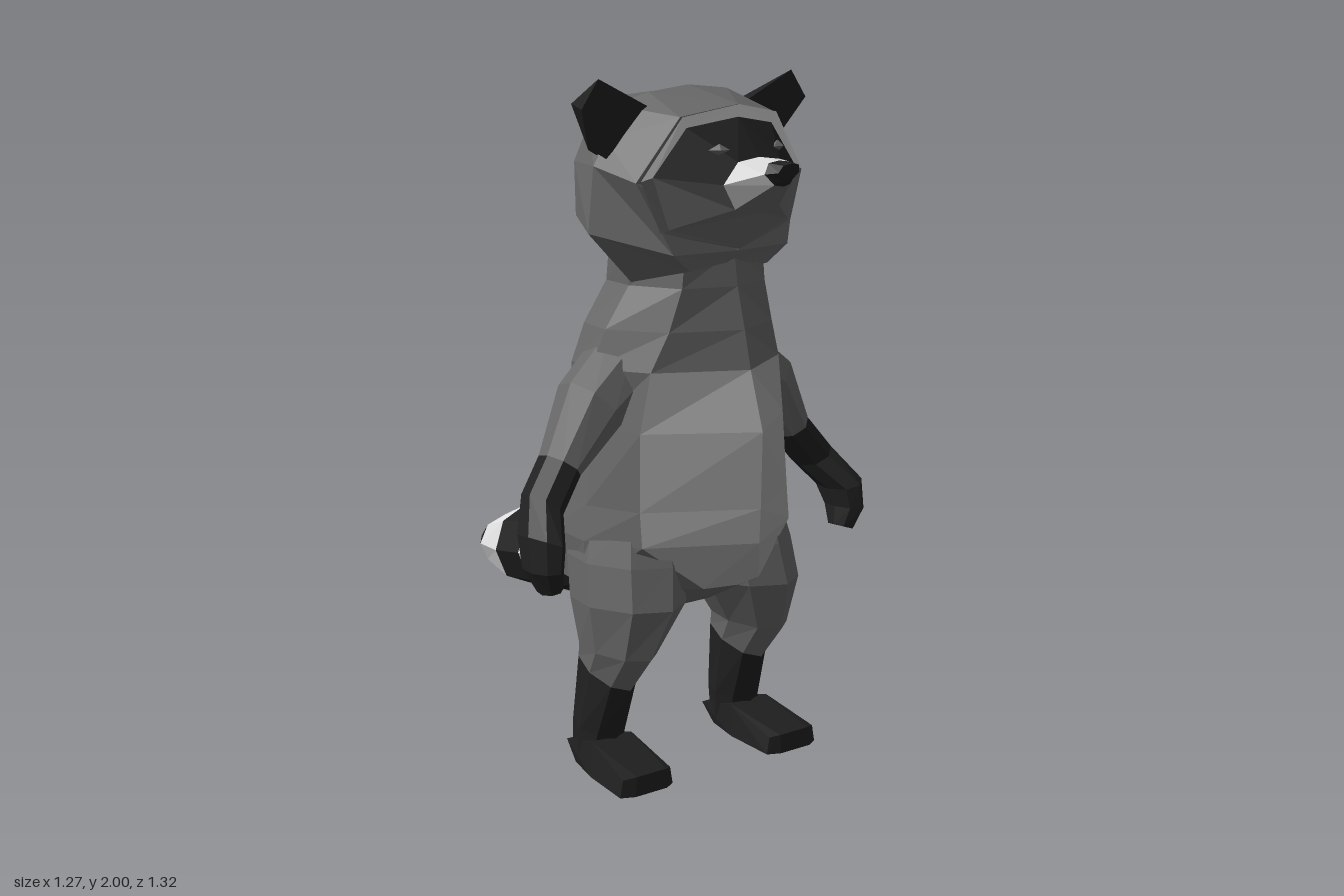
import * as THREE from 'three';
import { ConvexGeometry } from 'three/addons/geometries/ConvexGeometry.js';

const mat = (name, color) => {
  const m = new THREE.MeshStandardMaterial({ color });
  m.name = name;
  return m;
};
const V = (x, y, z) => new THREE.Vector3(x, y, z);

// Elliptical ring of n points around c, spanned by the half-axes u and v
const ellipse = (c, u, v, n) => Array.from({ length: n }, (_, i) => {
  const a = (i / n) * Math.PI * 2;
  return c.clone().addScaledVector(u, Math.cos(a)).addScaledVector(v, Math.sin(a));
});

// Full ring from the points of its +x half, front to back
const mirrorRing = (half) => {
  const pts = half.map((p) => V(...p));
  const other = pts.slice(1, -1).reverse().map((p) => V(-p.x, p.y, p.z));
  return [...pts, ...other];
};

// Faceted closed skin over rings; materialOf(row, column) picks the colour
function loft(name, rings, materialOf) {
  const n = rings[0].length;
  const tris = [];
  const add = (m, ...p) => tris.push({ m, p });
  for (let i = 0; i < rings.length - 1; i++) {
    for (let j = 0; j < n; j++) {
      const k = (j + 1) % n;
      const col = Math.min(j, n - 1 - j);
      const [a, b, c, d] = [rings[i][j], rings[i][k], rings[i + 1][k], rings[i + 1][j]];
      const m = materialOf(i, col);
      if (j < n / 2) { add(m, a, b, c); add(m, a, c, d); }
      else { add(m, a, b, d); add(m, b, c, d); }
    }
  }
  // End caps
  [[rings[0], 0, true], [rings.at(-1), rings.length - 2, false]].forEach(([r, row, first]) => {
    const mid = r.reduce((s, p) => s.add(p), V(0, 0, 0)).divideScalar(n);
    for (let j = 0; j < n; j++) {
      const [a, b] = [r[j], r[(j + 1) % n]];
      add(materialOf(row, 0), mid, ...(first ? [b, a] : [a, b]));
    }
  });
  // Turn every face outwards
  const volume = tris.reduce((s, { p }) => s + p[0].dot(p[1].clone().cross(p[2])), 0);
  const group = new THREE.Group();
  group.name = name;
  for (const m of new Set(tris.map((t) => t.m))) {
    const pts = tris.filter((t) => t.m === m)
      .flatMap(({ p }) => (volume < 0 ? [p[0], p[2], p[1]] : p));
    const g = new THREE.BufferGeometry().setFromPoints(pts);
    g.computeVertexNormals();
    const mesh = new THREE.Mesh(g, m);
    mesh.name = `${name} ${m.name}`;
    group.add(mesh);
  }
  return group;
}

export function createModel() {
  const fur = mat('grey fur', 0x686868);
  const pale = mat('pale belly', 0xa7a7a7);
  const dark = mat('black fur', 0x202020);
  const white = mat('white fur', 0xdedede);
  const model = new THREE.Group();
  model.name = 'raccoon';

  // Torso: y, front z, belly edge x and z, half width, middle z, back z
  const torso = [
    [1.52, 0.44, 0.15, 0.40, 0.22, 0.24, 0.03],
    [1.42, 0.455, 0.16, 0.40, 0.215, 0.24, 0.0],
    [1.30, 0.485, 0.20, 0.39, 0.285, 0.22, -0.035],
    [1.19, 0.51, 0.25, 0.37, 0.32, 0.20, -0.055],
    [1.02, 0.56, 0.28, 0.36, 0.30, 0.19, -0.085],
    [0.80, 0.555, 0.29, 0.37, 0.335, 0.19, -0.125],
    [0.70, 0.55, 0.29, 0.38, 0.35, 0.20, -0.17],
    [0.565, 0.47, 0.11, 0.44, 0.34, 0.20, -0.10],
    [0.47, 0.26, 0.08, 0.26, 0.17, 0.18, 0.03],
  ].map(([y, zf, ax, az, w, zm, zb]) => mirrorRing([
    [0, y, zf], [ax, y, az], [w, y, zm],
    [w * 0.85, y, zb + 0.45 * (zm - zb)], [w * 0.5, y, zb + 0.13 * (zm - zb)], [0, y, zb],
  ]));
  model.add(loft('torso', torso, (i, j) => (j === 0 && i >= 3 && i <= 6 ? pale : fur)));

  // Head, from the neck up
  const head = [
    [[0, 1.49, 0.44], [0.15, 1.47, 0.42], [0.215, 1.43, 0.25], [0.14, 1.49, 0.06], [0, 1.49, 0.03]],
    [[0, 1.52, 0.455], [0.22, 1.52, 0.43], [0.39, 1.58, 0.27], [0.22, 1.60, 0.02], [0, 1.61, 0]],
    [[0, 1.66, 0.38], [0.31, 1.72, 0.375], [0.345, 1.76, 0.24], [0.2, 1.75, -0.01], [0, 1.75, -0.05]],
    [[0, 1.925, 0.45], [0.18, 1.895, 0.41], [0.29, 1.83, 0.23], [0.19, 1.865, 0.045], [0, 1.87, 0.04]],
    [[0, 1.97, 0.25], [0.15, 1.955, 0.25], [0.235, 1.92, 0.19], [0.165, 1.935, 0.10], [0, 1.945, 0.10]],
  ].map(mirrorRing);
  model.add(loft('head', head, () => fur));

  // Face: white brow band, black mask, white muzzle, black nose
  const face = [
    [[0, 1.925, 0.455], [0.18, 1.895, 0.42], [0.31, 1.725, 0.395], [0.25, 1.58, 0.41], [0, 1.525, 0.46]],
    [[0, 1.89, 0.452], [0.163, 1.865, 0.418], [0.275, 1.735, 0.405], [0.23, 1.59, 0.42], [0, 1.53, 0.465]],
    [[0, 1.785, 0.535], [0.08, 1.775, 0.535], [0.13, 1.715, 0.53], [0.085, 1.645, 0.53], [0, 1.632, 0.545]],
    [[0, 1.78, 0.612], [0.04, 1.775, 0.612], [0.055, 1.745, 0.612], [0.03, 1.715, 0.625], [0, 1.71, 0.63]],
    [[0, 1.775, 0.66], [0.03, 1.77, 0.658], [0.04, 1.75, 0.65], [0.02, 1.73, 0.645], [0, 1.725, 0.645]],
  ].map(mirrorRing);
  const faceRows = [white, dark, white, dark];
  model.add(loft('face', face, (i, j) => (i < 3 && j >= (i === 2 ? 3 : 2) ? fur : faceRows[i])));

  // Tail: z, middle y, half height, half width, backward lean of the top
  const tail = [
    [0.07, 0.575, 0.125, 0.22, 0.02], [-0.13, 0.57, 0.132, 0.175, 0.05], [-0.24, 0.54, 0.137, 0.145, 0.02],
    [-0.365, 0.525, 0.128, 0.128, 0.015], [-0.478, 0.512, 0.122, 0.125, 0.01], [-0.585, 0.51, 0.078, 0.1, 0],
    [-0.655, 0.513, 0.012, 0.04, 0],
  ].map(([z, y, h, w, lean]) => ellipse(V(0, y, z), V(0, h, -lean), V(w, 0, 0), 8));
  const tailRows = [fur, dark, white, dark, white, dark];
  model.add(loft('tail', tail, (i) => tailRows[i]));

  for (const s of [1, -1]) {
    const side = s > 0 ? 'left' : 'right';
    const convex = (name, pts) => {
      const mesh = new THREE.Mesh(new ConvexGeometry(pts.map(([x, y, z]) => V(s * x, y, z))), dark);
      mesh.name = `${side} ${name}`;
      model.add(mesh);
    };

    // Ear
    convex('ear', [
      [0.17, 1.91, 0.29], [0.31, 1.77, 0.26], [0.37, 2.0, 0.29], [0.43, 1.92, 0.29],
      [0.21, 1.9, 0.19], [0.32, 1.80, 0.19], [0.39, 1.93, 0.2],
    ]);

    // Eye
    const eye = new THREE.Mesh(new THREE.OctahedronGeometry(1), fur);
    eye.name = `${side} eye`;
    eye.scale.set(0.03, 0.017, 0.018);
    eye.position.set(s * 0.112, 1.807, 0.494);
    eye.rotation.y = s * 0.5;
    model.add(eye);

    // Arm: centre, half thickness, half depth
    const path = [
      [0.18, 1.19, 0.19, 0.12, 0.12], [0.335, 1.09, 0.21, 0.1, 0.11], [0.45, 0.935, 0.215, 0.056, 0.075],
      [0.53, 0.84, 0.235, 0.056, 0.075], [0.587, 0.755, 0.298, 0.05, 0.09], [0.595, 0.68, 0.315, 0.042, 0.075],
      [0.575, 0.62, 0.32, 0.03, 0.045],
    ];
    const arm = path.map(([x, y, z, ru, rv], i) => {
      const [p, q] = [path[Math.max(i - 1, 0)], path[Math.min(i + 1, path.length - 1)]];
      const u = V(p[1] - q[1], q[0] - p[0], 0).normalize().multiplyScalar(ru);
      u.x *= s;
      return ellipse(V(s * x, y, z), u, V(0, 0, rv), 8);
    });
    model.add(loft(`${side} arm`, arm, (i) => (i < 2 ? fur : dark)));

    // Leg: centre, half width, half depth, forward drop
    const leg = [
      [0.20, 0.78, 0.21, 0.125, 0.17, 0], [0.21, 0.64, 0.225, 0.15, 0.195, 0], [0.228, 0.52, 0.25, 0.143, 0.19, 0],
      [0.262, 0.38, 0.245, 0.085, 0.14, -0.01], [0.262, 0.31, 0.2, 0.068, 0.1, -0.045],
      [0.27, 0.14, 0.172, 0.075, 0.075, -0.02], [0.275, 0.06, 0.17, 0.075, 0.065, 0],
    ].map(([x, y, z, rx, rz, drop]) => ellipse(V(s * x, y, z), V(0, drop, rz), V(rx, 0, 0), 8));
    model.add(loft(`${side} leg`, leg, (i) => (i < 4 ? fur : dark)));

    // Foot
    convex('foot', [
      [0.19, 0, 0.40], [0.39, 0, 0.40], [0.23, 0, 0.42], [0.35, 0, 0.42],
      [0.2, 0.05, 0.40], [0.38, 0.05, 0.40], [0.23, 0.055, 0.415], [0.34, 0.055, 0.415],
      [0.2, 0.115, 0.235], [0.35, 0.115, 0.235], [0.19, 0.02, 0.25], [0.37, 0.02, 0.25],
      [0.21, 0.035, 0.15], [0.34, 0.035, 0.15], [0.21, 0.09, 0.1], [0.33, 0.09, 0.1],
    ]);
  }
  return model;
}
